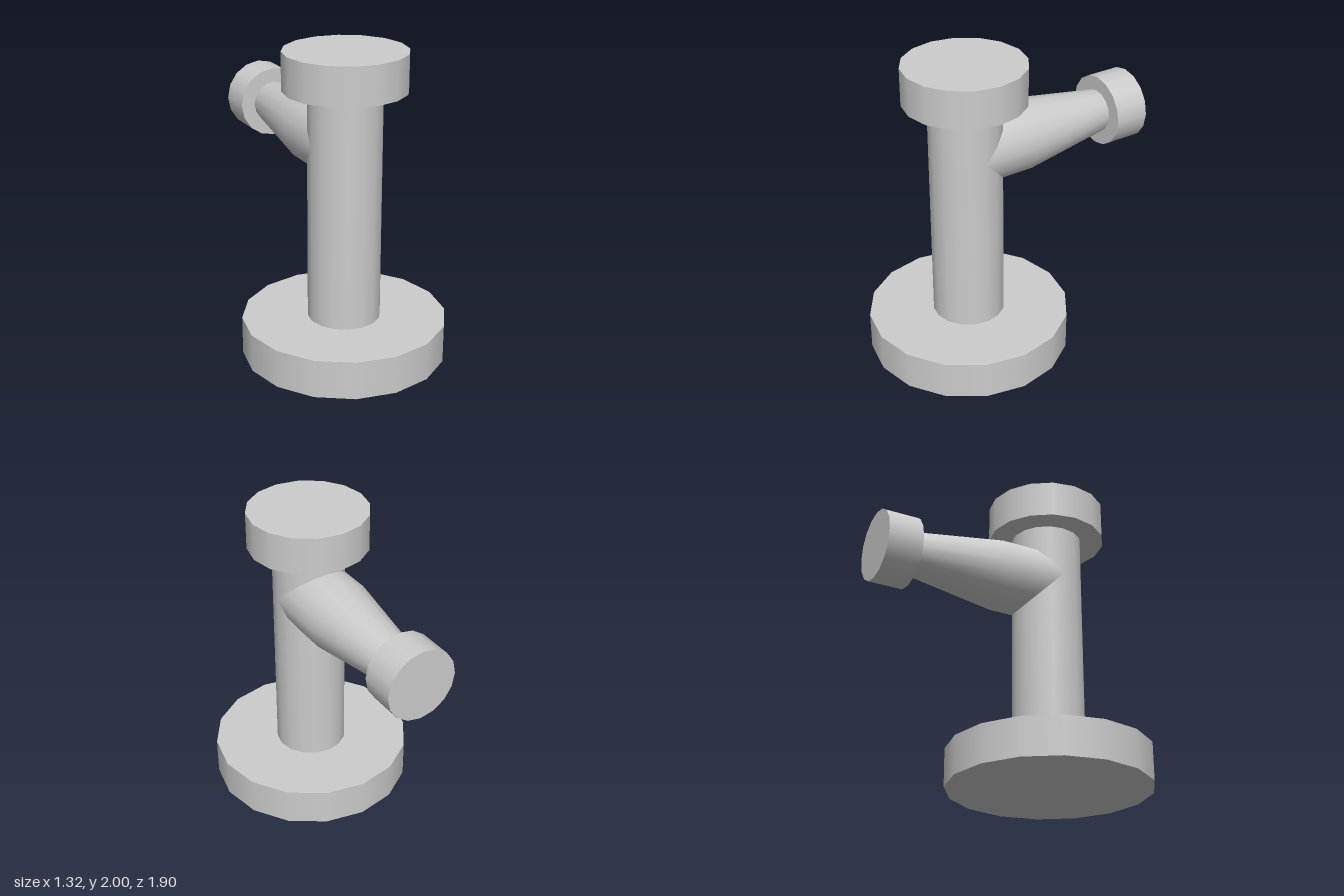
import * as THREE from 'three';

const SIDES = 16;

export function createModel() {
  const model = new THREE.Group();
  const grey = new THREE.MeshStandardMaterial({ color: 0xcccccc });
  grey.name = 'plain grey';

  const columnZ = 0.29, armY = 1.415, pipeRadius = 0.235;

  function add(name, geometry) {
    const mesh = new THREE.Mesh(geometry, grey);
    mesh.name = name;
    model.add(mesh);
    return mesh;
  }

  // Upright discs and pipe, stacked on one axis
  function upright(name, radius, bottom, top) {
    const geometry = new THREE.CylinderGeometry(radius, radius, top - bottom, SIDES);
    add(name, geometry).position.set(0, (bottom + top) / 2, columnZ);
  }
  upright('baseFlange', 0.66, 0, 0.25);
  upright('column', pipeRadius, 0.25, 1.755);
  upright('topCap', 0.39, 1.755, 2);

  // Side branch: straight neck that tapers toward the back
  const profile = [[pipeRadius, 0], [pipeRadius, 0.38], [0.14, 1.01]]
    .map(([r, along]) => new THREE.Vector2(r, along));
  const branch = add('branch', new THREE.LatheGeometry(profile, SIDES));
  branch.rotation.x = -Math.PI / 2;
  branch.position.set(0, armY, columnZ);

  // Cap closing the branch
  const branchCap = add('branchCap', new THREE.CylinderGeometry(pipeRadius, pipeRadius, 0.23, SIDES));
  branchCap.rotation.x = -Math.PI / 2;
  branchCap.position.set(0, armY, -0.835);

  return model;
}
